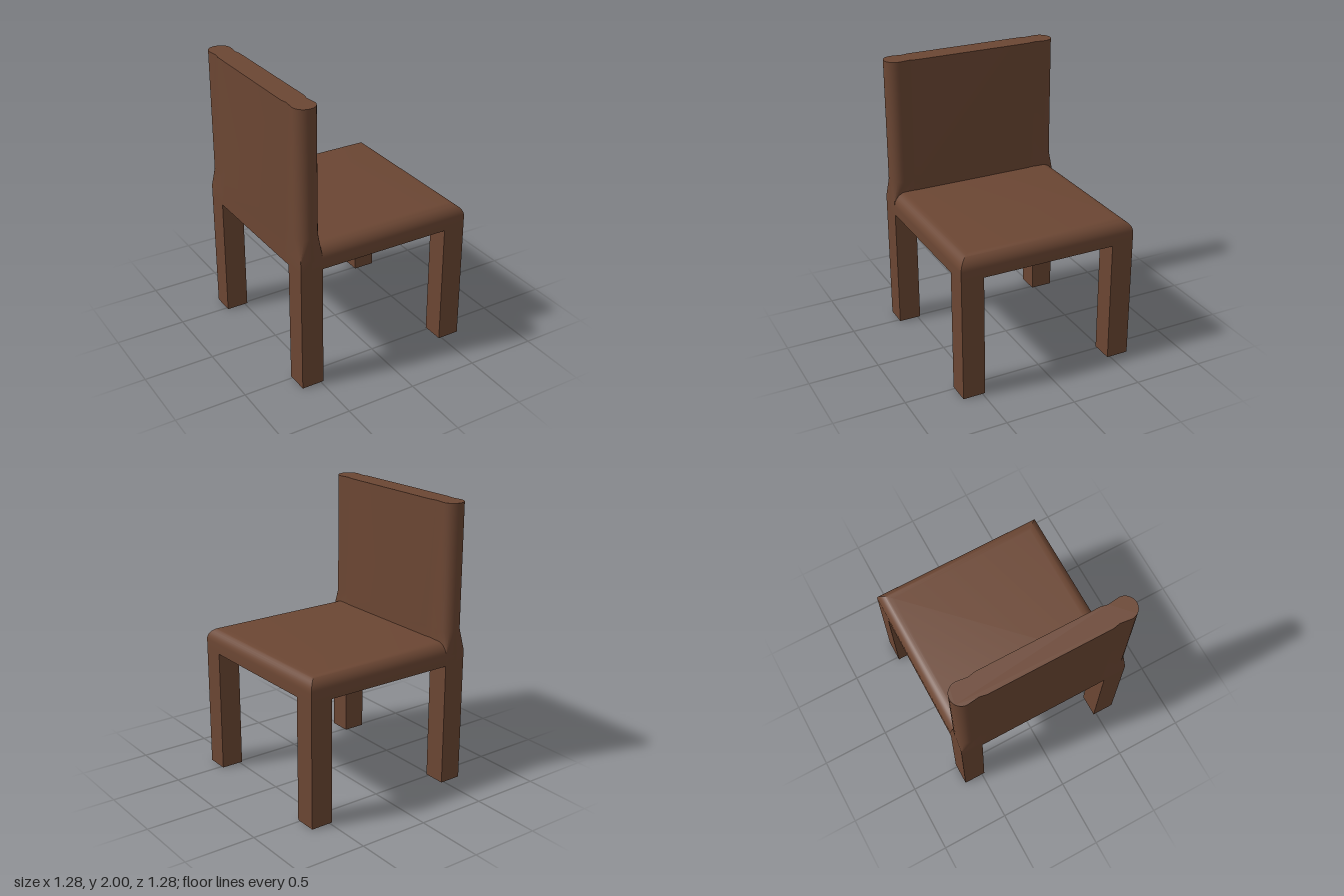
import * as THREE from 'three';
import { toCreasedNormals } from 'three/addons/utils/BufferGeometryUtils.js';

// Joins outlines of [x, z], counterclockwise from above, from bottom to top, and caps both ends.
function loft(levels) {
  const pos = [];
  const rings = levels.map(({ y, outline }) => outline.map(([x, z]) => new THREE.Vector3(x, y, z)));
  const tri = (a, b, c) => {
    if (new THREE.Triangle(a, b, c).getArea() < 1e-8) return;
    for (const p of [a, b, c]) pos.push(p.x, p.y, p.z);
  };
  for (let k = 0; k + 1 < rings.length; k++) {
    const lo = rings[k], hi = rings[k + 1], n = lo.length;
    for (let i = 0; i < n; i++) {
      const j = (i + 1) % n;
      tri(lo[i], lo[j], hi[j]);
      tri(lo[i], hi[j], hi[i]);
    }
  }
  const cap = (ring, up) => {
    const flat = ring.map(p => new THREE.Vector2(p.x, -p.z));
    for (const [a, b, c] of THREE.ShapeUtils.triangulateShape(flat, [])) {
      if (up) tri(ring[a], ring[b], ring[c]);
      else tri(ring[a], ring[c], ring[b]);
    }
  };
  cap(rings[0], false);
  cap(rings[rings.length - 1], true);
  const geo = new THREE.BufferGeometry();
  geo.setAttribute('position', new THREE.Float32BufferAttribute(pos, 3));
  return toCreasedNormals(geo, 0.6);
}

export function createModel() {
  const chair = new THREE.Group();
  chair.name = 'chair';
  const wood = new THREE.MeshStandardMaterial({ color: 0x6b4633 });
  const H = 0.64, T = 0.16, R = T / 2, backX = -H + R;
  const add = (name, geo) => {
    const mesh = new THREE.Mesh(geo, wood);
    mesh.name = name;
    chair.add(mesh);
    return mesh;
  };

  // Four square legs
  for (const sx of [-1, 1]) for (const sz of [-1, 1]) {
    const leg = add(sx > 0 ? 'frontLeg' : 'backLeg', new THREE.BoxGeometry(T, 0.88, T));
    leg.position.set(sx * (H - R), 0.44, sz * (H - R));
  }

  // Seat slab with three rounded, mitred upper edges
  const bevel = 0.09, seatTop = 1.04;
  const slab = inset => [[backX, H - inset], [H - inset, H - inset], [H - inset, inset - H], [backX, inset - H]];
  const seatLevels = [{ y: 0.88, outline: slab(0) }];
  for (let i = 0; i <= 10; i++) {
    const a = (i / 10) * Math.PI / 2;
    seatLevels.push({ y: seatTop - bevel + bevel * Math.sin(a), outline: slab(bevel * (1 - Math.cos(a))) });
  }
  add('seat', loft(seatLevels));

  // Backrest: square at the seat, blending to rounded ends with a slight waist beside each
  const round = [], square = [];
  for (const s of [1, -1]) {
    const put = (u, v, su, sv) => {
      round.push([backX + s * u, -s * v]);
      square.push([backX + s * su, -s * sv]);
    };
    put(R, 0.43, R, 0.43);
    put(R - 0.01, 0.48, R, 0.48);
    for (let i = 0; i <= 16; i++) {
      const a = (i / 16) * Math.PI;
      put(R * Math.cos(a), H - R + R * Math.sin(a), R * Math.sign(8 - i), H);
    }
    put(0.01 - R, 0.48, -R, 0.48);
    put(-R, 0.43, -R, 0.43);
  }
  add('backrest', loft([
    { y: 0.88, outline: square },
    { y: 0.97, outline: square },
    { y: 1.12, outline: round },
    { y: 2, outline: round },
  ]));

  return chair;
}
